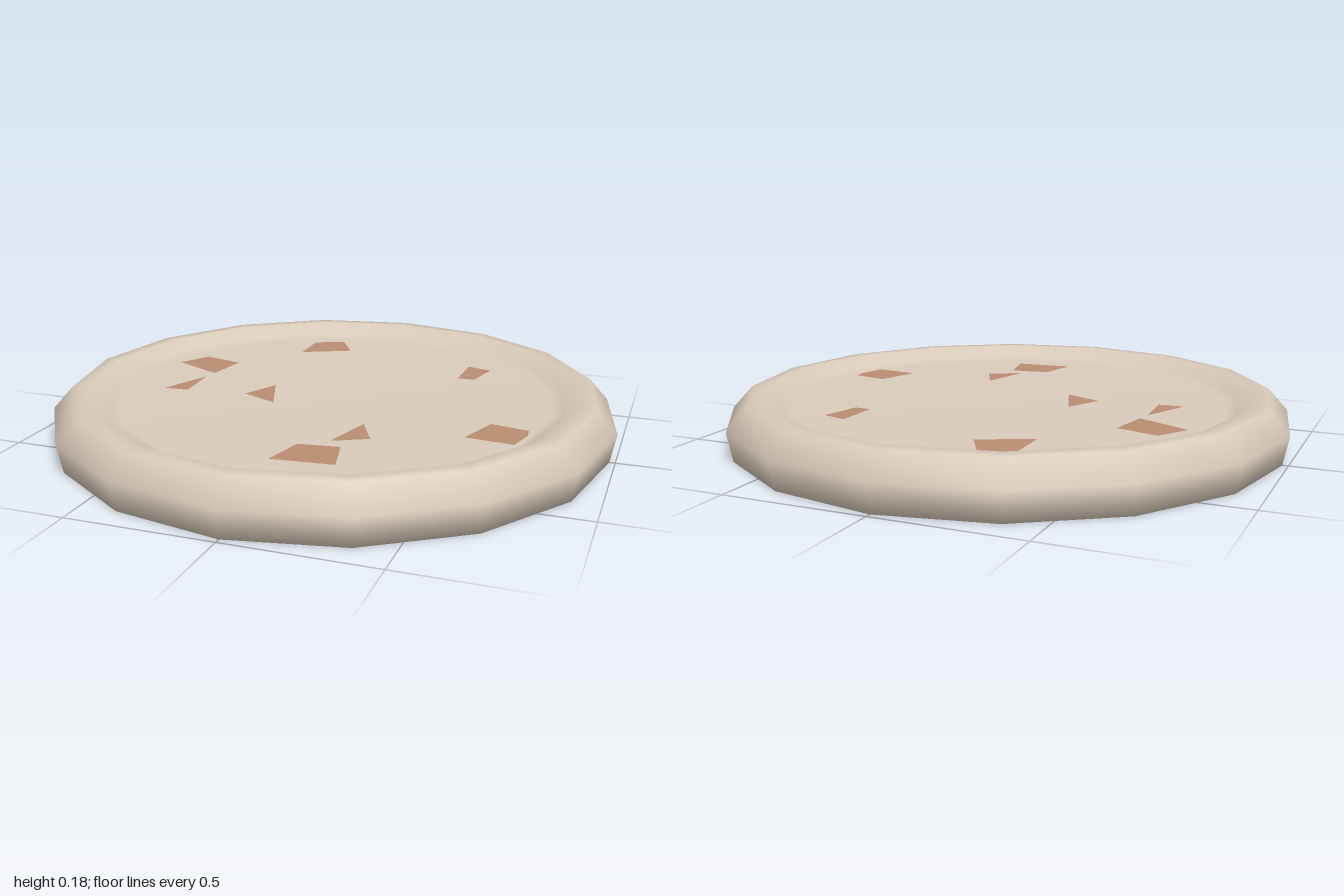
import * as THREE from 'three';

export function createModel() {
  const model = new THREE.Group();
  model.name = 'plate';

  const clay = new THREE.MeshStandardMaterial({ color: 0xd8cab9 });
  clay.name = 'pale clay';
  const rust = new THREE.MeshStandardMaterial({ color: 0xb88c71 });
  rust.name = 'rust brown';

  // Sixteen-sided dish: underside, outer wall, rolled rim, shallow floor
  const profile = [
    [0, 0], [0.98, 0], [1, 0.1], [0.93, 0.178], [0.88, 0.18],
    [0.82, 0.147], [0.78, 0.13], [0, 0.13],
  ].map(([r, y]) => new THREE.Vector2(r, y));
  const dish = new THREE.Mesh(new THREE.LatheGeometry(profile, 16), clay);
  dish.name = 'dish';
  model.add(dish);

  // Flat angular stains on the floor, outlines given as x, z
  const stains = [
    [[-0.31, -0.645], [-0.2, -0.69], [-0.13, -0.57], [-0.31, -0.485]],
    [[0.38, -0.505], [0.47, -0.48], [0.435, -0.34], [0.375, -0.34]],
    [[-0.64, -0.295], [-0.49, -0.255], [-0.52, -0.095], [-0.71, -0.185]],
    [[-0.53, -0.045], [-0.52, 0.13], [-0.61, 0.135]],
    [[-0.24, -0.03], [-0.17, 0.16], [-0.305, 0.1]],
    [[0.6, 0.13], [0.73, 0.155], [0.735, 0.2], [0.71, 0.3], [0.545, 0.285]],
    [[0.2, 0.27], [0.265, 0.4], [0.15, 0.46]],
    [[0.06, 0.52], [0.2, 0.5], [0.235, 0.65], [0.025, 0.67]],
  ];
  const stainGroup = new THREE.Group();
  stainGroup.name = 'stains';
  for (const outline of stains) {
    const shape = new THREE.Shape(outline.map(([x, z]) => new THREE.Vector2(x, -z)));
    const stain = new THREE.Mesh(new THREE.ShapeGeometry(shape).rotateX(-Math.PI / 2), rust);
    stain.name = 'stain';
    stain.position.y = 0.135;
    stainGroup.add(stain);
  }
  model.add(stainGroup);

  return model;
}
